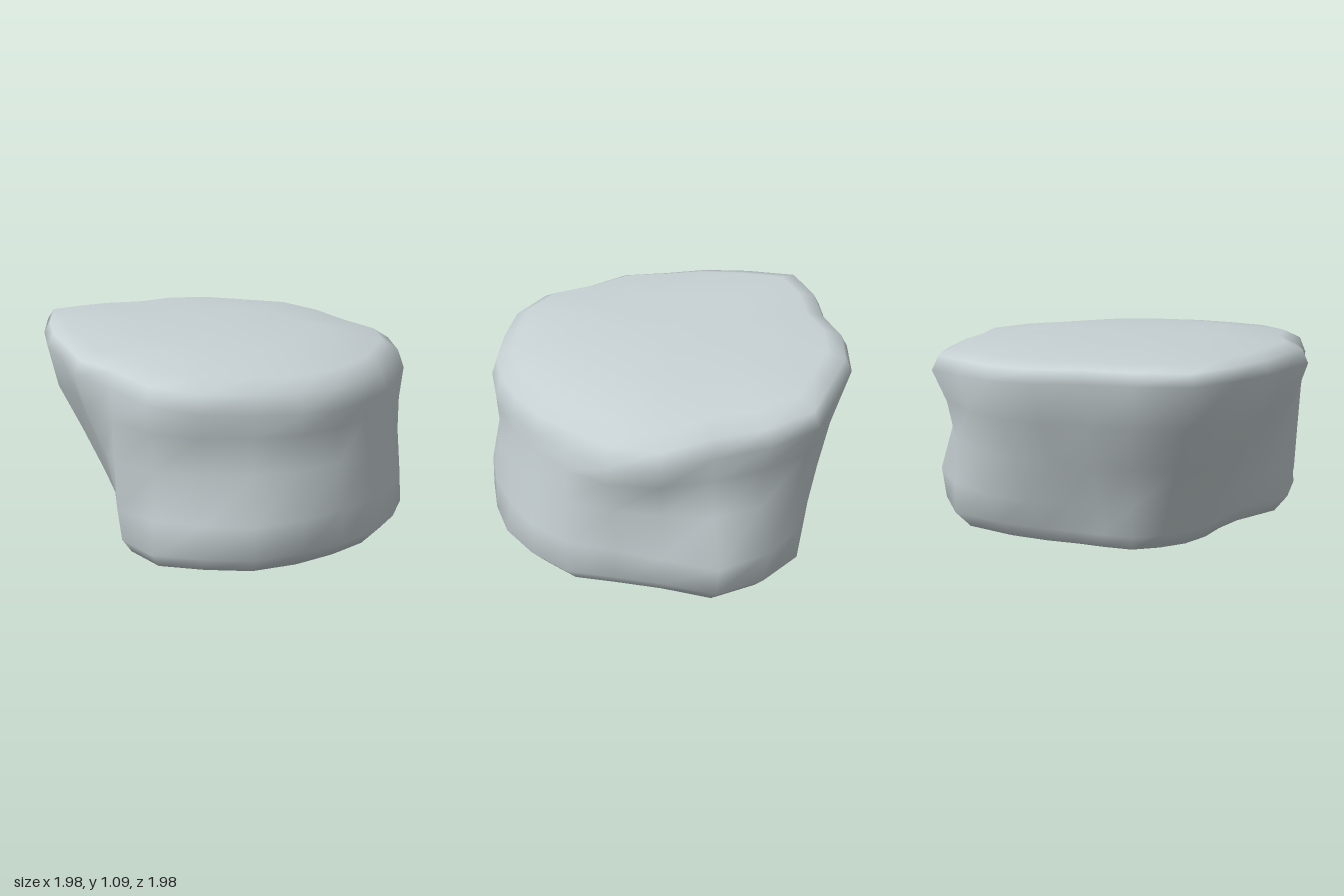
import * as THREE from 'three';

const SIDES = 24;
const stone = new THREE.MeshStandardMaterial({ color: 0xc7d1d4 });
stone.name = 'grey stone';

// Radii every 15 degrees, from the +x side round by the front (+z)
const foot = [.96, .95, .95, .94, .955, .98, .96, .97, .87, .65, .59, .6,
  .61, .61, .62, .6, .61, .68, .8, .98, 1.03, 1.05, .93, .91];
const lower = [.95, .94, .92, .93, .95, .98, .96, .95, .9, .73, .65, .67,
  .69, .69, .65, .64, .67, .76, .88, .98, 1.05, 1.09, .96, .92];
const waist = [.93, .9, .9, .9, .9, .91, .91, .93, .91, .79, .74, .78,
  .82, .82, .76, .74, .77, .84, .92, .96, .98, .99, .94, .93];
const upper = [.93, .88, .87, .88, .91, .93, .95, .97, .92, .89, .83, .9,
  .94, .98, .9, .84, .88, .93, .96, 1, .97, .96, .98, .97];
const rim = [.91, .89, .88, .9, .92, .94, 1, 1.01, .92, .95, .91, .95,
  1, 1.09, 1, .92, .97, 1, 1, 1.07, 1.03, .98, 1.04, .99];

// Each ring: outline, scale, height at the middle, slope along x and z
const rings = [
  [foot, 0.68, 0, 0, 0],
  [foot, 0.92, 0.025, 0, 0],
  [foot, 1, 0.11, 0, 0],
  [lower, 1, 0.28, 0, 0],
  [waist, 1, 0.52, 0, 0],
  [upper, 1, 0.73, -0.04, -0.02],
  [rim, 1, 0.89, -0.1, -0.06],
  [rim, 0.965, 0.97, -0.085, -0.05],
  [rim, 0.87, 1.015, -0.068, -0.04],
  [rim, 0.5, 1.05, -0.045, -0.025],
];

function buildRock() {
  const pos = [], index = [];
  for (const [radii, scale, y, slopeX, slopeZ] of rings) {
    radii.forEach((r, k) => {
      const a = THREE.MathUtils.degToRad(9 + k * 360 / SIDES);
      const x = Math.cos(a) * r * scale, z = Math.sin(a) * r * scale;
      pos.push(x, y + slopeX * x + slopeZ * z, z);
    });
  }
  // Walls between the rings
  for (let i = 0; i < rings.length - 1; i++) {
    for (let k = 0; k < SIDES; k++) {
      const n = (k + 1) % SIDES;
      const a = i * SIDES + k, b = i * SIDES + n;
      index.push(a, a + SIDES, b, b, a + SIDES, b + SIDES);
    }
  }
  // Underside and crown
  const under = pos.length / 3, crown = under + 1;
  const last = (rings.length - 1) * SIDES;
  pos.push(0, 0, 0, 0, 1.055, 0);
  for (let k = 0; k < SIDES; k++) {
    const n = (k + 1) % SIDES;
    index.push(under, k, n, crown, last + n, last + k);
  }
  const geo = new THREE.BufferGeometry();
  geo.setAttribute('position', new THREE.Float32BufferAttribute(pos, 3));
  geo.setIndex(index);
  geo.computeVertexNormals();
  return geo;
}

export function createModel() {
  const group = new THREE.Group();
  group.name = 'boulder';
  const rock = new THREE.Mesh(buildRock(), stone);
  rock.name = 'rock';
  group.add(rock);
  return group;
}
